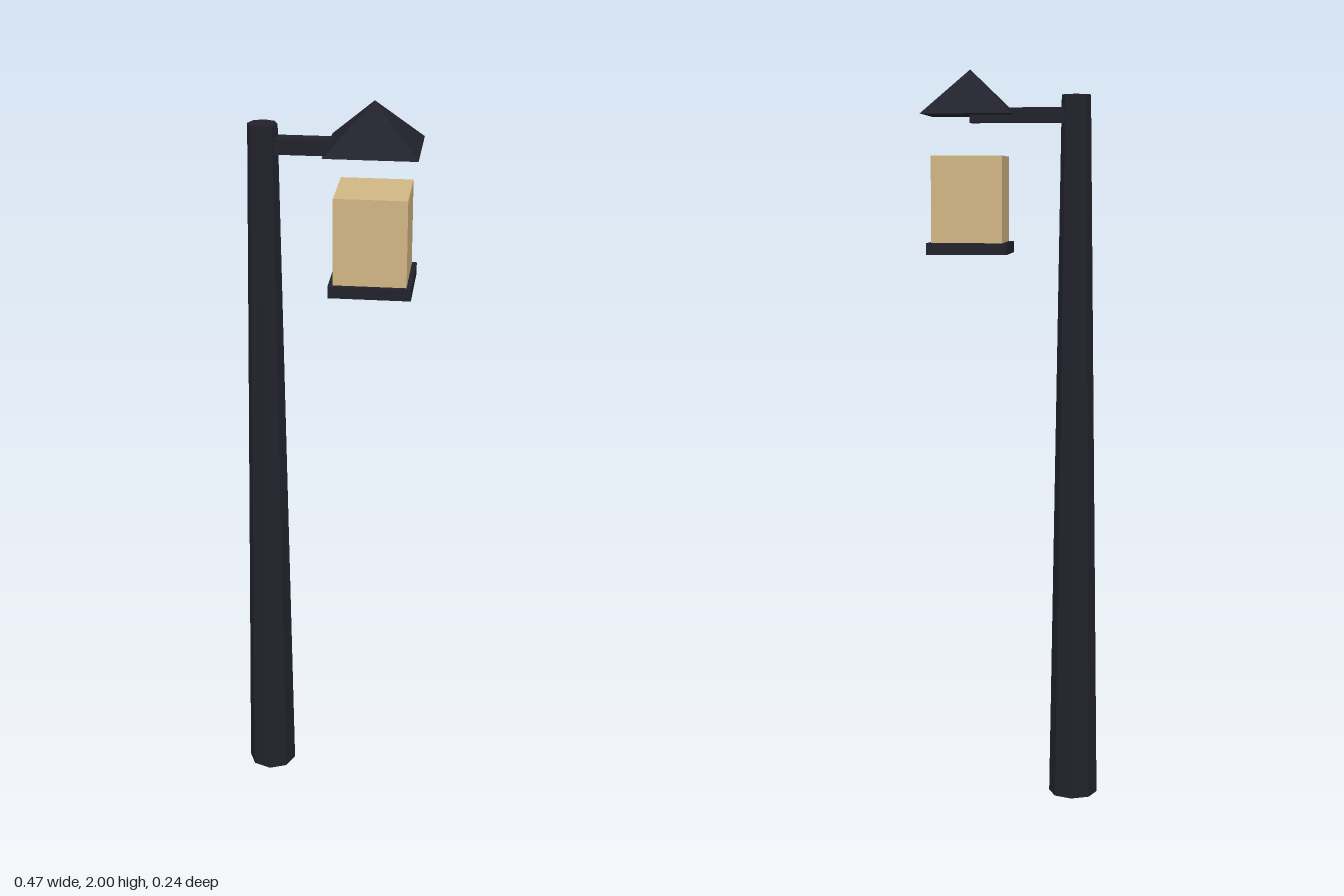
import * as THREE from 'three';

export function createModel() {
  const group = new THREE.Group();
  group.name = 'streetLamp';

  const iron = new THREE.MeshStandardMaterial({ color: 0x22222c });
  iron.name = 'dark iron';
  iron.flatShading = true;
  const glow = new THREE.MeshStandardMaterial({ color: 0xd0b684 });
  glow.name = 'warm lamp glass';

  const postX = -0.17;
  const lampX = 0.115;

  // Places a part by its centre in x and its bottom and top in y
  function add(name, geometry, material, x, bottom, top) {
    const mesh = new THREE.Mesh(geometry, material);
    mesh.name = name;
    mesh.position.set(x, (bottom + top) / 2, 0);
    group.add(mesh);
  }

  // Tapered octagonal post
  add('post', new THREE.CylinderGeometry(0.039, 0.067, 1.933, 8), iron, postX, 0, 1.933);

  // Arm from the post to the middle of the roof
  add('arm', new THREE.BoxGeometry(lampX - postX, 0.04, 0.046), iron, (postX + lampX) / 2, 1.859, 1.899);

  // Pyramid roof with its sides square to the axes
  const roof = new THREE.ConeGeometry(0.12 * Math.SQRT2, 0.12, 4).rotateY(Math.PI / 4);
  add('roof', roof, iron, lampX, 1.88, 2);

  // Lantern box and the tray below it
  add('lantern', new THREE.BoxGeometry(0.19, 0.23, 0.19), glow, lampX, 1.541, 1.771);
  add('lanternTray', new THREE.BoxGeometry(0.215, 0.031, 0.215), iron, lampX, 1.51, 1.541);

  return group;
}
